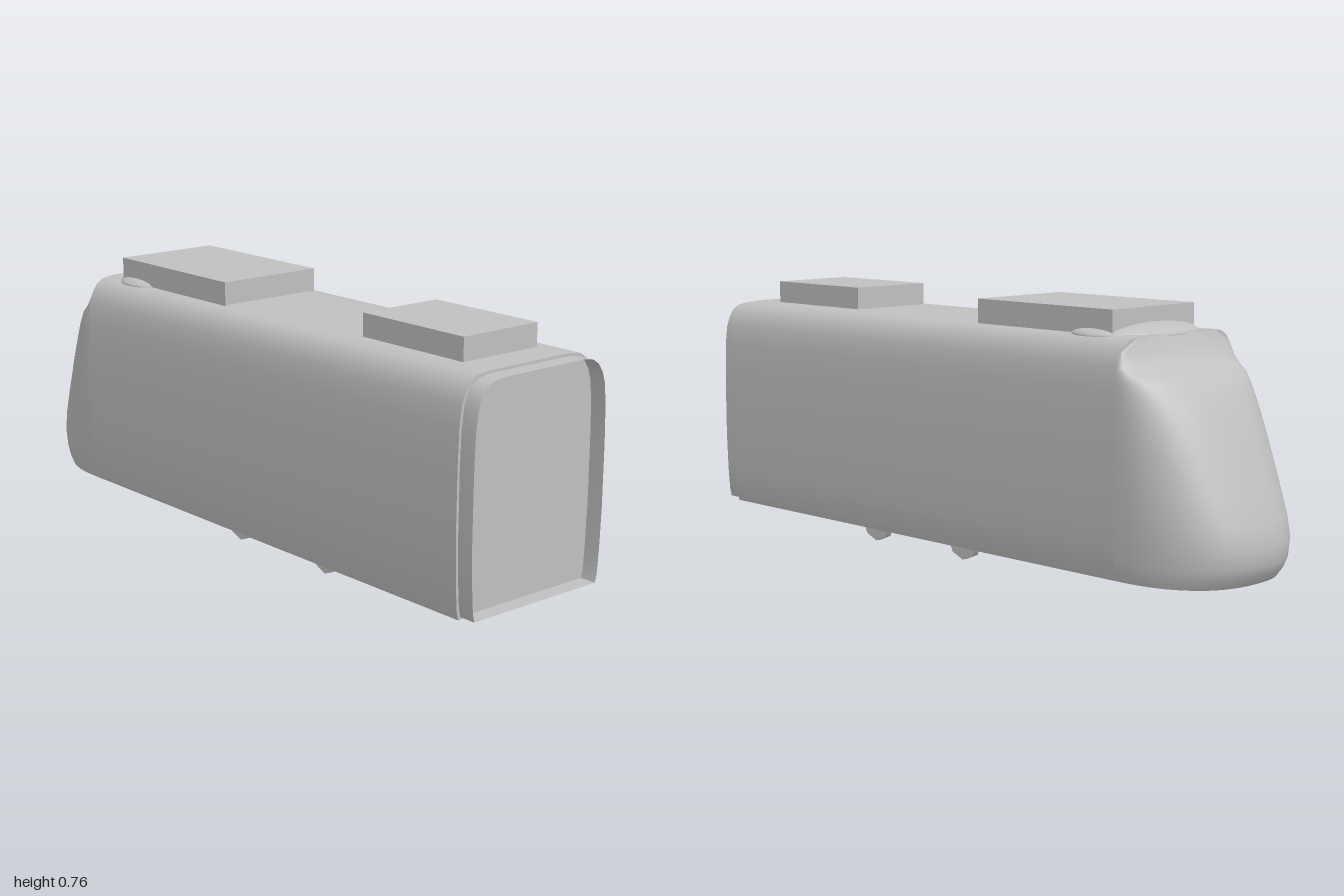
import * as THREE from 'three';
import { toCreasedNormals, mergeVertices } from 'three/addons/utils/BufferGeometryUtils.js';

// Right half of the car cross-section, bottom to top: [half width, height]
const PROFILE = [
  [0.235, 0.055], [0.241, 0.08], [0.246, 0.15], [0.25, 0.27], [0.25, 0.45], [0.247, 0.56],
  [0.24, 0.62], [0.23, 0.65], [0.213, 0.675], [0.19, 0.69], [0.15, 0.696],
];

// Nose centreline, top to bottom: [height, z of the tip]
const NOSE = [
  [0.695, -0.68], [0.66, -0.695], [0.62, -0.72], [0.6, -0.76], [0.58, -0.8], [0.54, -0.832],
  [0.48, -0.868], [0.4, -0.908], [0.3, -0.952], [0.22, -0.985], [0.16, -1],
  [0.11, -0.995], [0.08, -0.98], [0.055, -0.96],
];

// Linear lookup of the half width at a height
function halfWidth(y) {
  for (let i = 1; i < PROFILE.length; i++) {
    const [w0, y0] = PROFILE[i - 1], [w1, y1] = PROFILE[i];
    if (y <= y1) return w0 + (w1 - w0) * (y - y0) / (y1 - y0);
  }
  return PROFILE[PROFILE.length - 1][0];
}

// Full closed outline, counter-clockwise
function outline(sx = 1, y0 = 0.055, y1 = 0.696) {
  const map = ([w, y], s) => new THREE.Vector2(s * w * sx, y0 + (y - 0.055) / 0.641 * (y1 - y0));
  return [...PROFILE.map(p => map(p, 1)), ...PROFILE.map(p => map(p, -1)).reverse()];
}

// Grid surface from equally long rows of points
function loft(rows) {
  const n = rows[0].length, index = [];
  for (let i = 0; i < rows.length - 1; i++) {
    for (let j = 0; j < n - 1; j++) {
      const a = i * n + j, b = a + n;
      index.push(a, b, a + 1, a + 1, b, b + 1);
    }
  }
  const geo = new THREE.BufferGeometry();
  geo.setAttribute('position', new THREE.Float32BufferAttribute(rows.flat(2), 3));
  geo.setIndex(index);
  geo.computeVertexNormals();
  return geo;
}

function noseGeometry() {
  const steps = 32;
  const rows = NOSE.map(([y, tip]) => {
    const row = [];
    const w = halfWidth(y), depth = -0.68 - tip;
    // Superellipse plan, left side round the tip to the right side
    for (let j = 0; j <= steps; j++) {
      const t = Math.PI * j / steps, c = Math.cos(t), s = Math.max(0, Math.sin(t));
      row.push([w * Math.sign(c) * Math.abs(c) ** 0.82, y, -0.68 - depth * s ** 0.82]);
    }
    return row;
  });
  return loft(rows.map(r => r.reverse()));
}

export function createModel() {
  const model = new THREE.Group();
  const grey = new THREE.MeshStandardMaterial({ color: 0xc0c0c0, side: THREE.DoubleSide });
  grey.name = 'plain grey';

  function add(name, geometry, x = 0, y = 0, z = 0) {
    const mesh = new THREE.Mesh(geometry, grey);
    mesh.name = name;
    mesh.position.set(x, y, z);
    model.add(mesh);
    return mesh;
  }

  // Long car body with rounded roof edges
  const body = new THREE.ExtrudeGeometry(new THREE.Shape(outline()), { depth: 1.63, bevelEnabled: false });
  add('carBody', toCreasedNormals(body, 0.7), 0, 0, -0.68);

  // Open sleeve round the recessed end wall
  const ring = outline(0.968, 0.062, 0.688);
  ring.push(ring[0]);
  const sleeve = loft([1, 0.94].map(z => ring.map(p => [p.x, p.y, z])));
  add('endSleeve', toCreasedNormals(sleeve, 0.7));

  // Streamlined nose and its flat underside
  add('nose', mergeVertices(noseGeometry()));
  const floorTip = NOSE[NOSE.length - 1][1];
  const floor = new THREE.Shape();
  for (let j = 0; j <= 32; j++) {
    const t = Math.PI * j / 32, c = Math.cos(t), s = Math.max(0, Math.sin(t));
    floor.lineTo(0.235 * Math.sign(c) * Math.abs(c) ** 0.82, 0.68 + (-floorTip - 0.68) * s ** 0.82);
  }
  // The shape starts on its own first corner rather than at the origin
  floor.curves.shift();
  const underside = new THREE.ShapeGeometry(floor);
  underside.rotateX(-Math.PI / 2);
  underside.scale(1, 1, 1);
  add('noseUnderside', underside, 0, 0.055, 0);

  // Roof equipment boxes and the low fairing under the rear one
  add('frontRoofBox', new THREE.BoxGeometry(0.27, 0.07, 0.38), 0, 0.727, 0.657);
  add('rearRoofBox', new THREE.BoxGeometry(0.336, 0.07, 0.51), 0, 0.728, -0.345);
  const fairing = new THREE.SphereGeometry(1, 32, 10, 0, Math.PI * 2, 0, Math.PI / 2);
  fairing.scale(0.2, 0.035, 0.155);
  add('roofFairing', fairing, 0, 0.69, -0.53);

  // Four small wheels, half sunk into the floor
  for (const x of [-0.158, 0.158]) {
    for (const z of [0.355, -0.025]) {
      const wheel = new THREE.CylinderGeometry(0.06, 0.06, 0.02, 8);
      wheel.rotateZ(Math.PI / 2);
      add('wheel', wheel, x, 0.06, z);
    }
  }
  return model;
}
